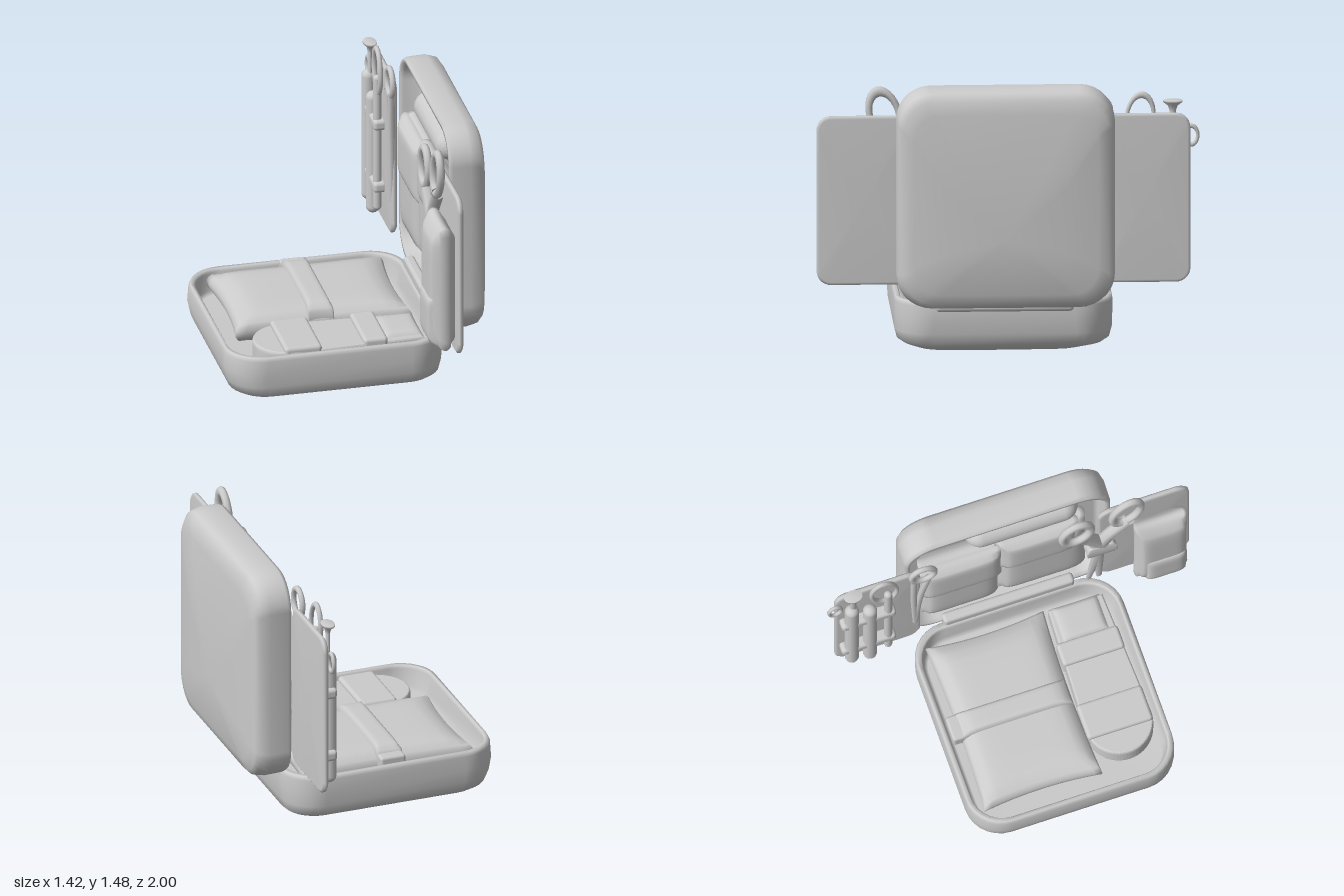
import * as THREE from 'three';
import { mergeVertices } from 'three/addons/utils/BufferGeometryUtils.js';
import { RoundedBoxGeometry } from 'three/addons/geometries/RoundedBoxGeometry.js';

const mat = new THREE.MeshStandardMaterial({ color: 0xcccccc, side: THREE.DoubleSide });

function add(parent, name, geo, x = 0, y = 0, z = 0) {
  const m = new THREE.Mesh(geo, mat);
  m.name = name;
  m.position.set(x, y, z);
  parent.add(m);
  return m;
}

// Loft of rounded rectangles; each section is [halfX, halfZ, cornerRadius, y, shiftX, shiftZ]
function loft(sections) {
  const n = 8, ring = 4 * n, pos = [], idx = [];
  for (const [hx, hz, r, y, sx = 0, sz = 0] of sections) {
    for (let q = 0; q < 4; q++) {
      for (let i = 0; i < n; i++) {
        const a = (q + i / (n - 1)) * Math.PI / 2;
        const cx = (q === 0 || q === 3 ? 1 : -1) * (hx - r), cz = (q < 2 ? 1 : -1) * (hz - r);
        pos.push(sx + cx + r * Math.cos(a), y, sz + cz + r * Math.sin(a));
      }
    }
  }
  for (let s = 0; s < sections.length - 1; s++) {
    for (let i = 0; i < ring; i++) {
      const a = s * ring + i, b = s * ring + (i + 1) % ring;
      idx.push(a, a + ring, b, b, a + ring, b + ring);
    }
  }
  const g = new THREE.BufferGeometry();
  g.setAttribute('position', new THREE.Float32BufferAttribute(pos, 3));
  g.setIndex(idx);
  const merged = mergeVertices(g);
  merged.computeVertexNormals();
  return merged;
}

// Soft cushion: a box thinned towards its seams, with sides drawn in between the corners
function pillow(w, h, d, pinch = 0.03, edge = 0.5) {
  let g = new THREE.BoxGeometry(w, h, d, 16, 6, 16);
  g.deleteAttribute('uv');
  g.deleteAttribute('normal');
  g = mergeVertices(g);
  const p = g.attributes.position;
  for (let i = 0; i < p.count; i++) {
    const u = p.getX(i) * 2 / w, t = p.getY(i) * 2 / h, v = p.getZ(i) * 2 / d;
    const full = Math.sqrt(Math.max(0, (1 - u ** 6) * (1 - v ** 6)));
    const shrink = 1 - 0.05 * t * t;
    p.setXYZ(i,
      u * w / 2 * shrink * (1 - pinch * (1 - v * v)),
      t * h / 2 * (edge + (1 - edge) * full),
      v * d / 2 * shrink * (1 - pinch * (1 - u * u)));
  }
  g.computeVertexNormals();
  return g;
}

// Cushion standing against the lid: thickness along x, height along y
function pouch(parent, name, height, thick, width, x, y, z, pinch = 0.02) {
  const m = add(parent, name, pillow(height, thick, width, pinch, 0.4), x, y, z);
  m.rotation.z = Math.PI / 2;
  return m;
}

// Oval loop lying in the yz plane
function loop(parent, name, ry, rz, tube, x, y, z, tilt = 0) {
  const m = add(parent, name, new THREE.TorusGeometry(1, tube / Math.sqrt(ry * rz), 8, 24), x, y, z);
  m.rotation.set(tilt, Math.PI / 2, 0);
  m.scale.set(rz, ry, Math.sqrt(ry * rz));
  return m;
}

function tube(parent, name, points, r) {
  const curve = new THREE.CatmullRomCurve3(points.map(p => new THREE.Vector3(...p)));
  return add(parent, name, new THREE.TubeGeometry(curve, 24, r, 8), 0, 0, 0);
}

export function createModel() {
  const model = new THREE.Group();
  model.name = 'openKitCase';

  // Tray with a sagging bottom
  add(model, 'tray', loft([
    [0, 0, 0, 0, 0.26, 0.08], [0.26, 0.24, 0.1, 0.015, 0.14, 0.08], [0.46, 0.44, 0.14, 0.042, 0.05, 0.02],
    [0.53, 0.52, 0.16, 0.065, 0.015], [0.56, 0.555, 0.18, 0.09, 0.01], [0.577, 0.568, 0.19, 0.14, 0.005],
    [0.588, 0.57, 0.2, 0.21], [0.586, 0.57, 0.2, 0.29, 0.004], [0.576, 0.562, 0.19, 0.312, 0.004],
    [0.556, 0.543, 0.18, 0.312], [0.547, 0.535, 0.17, 0.295], [0.54, 0.525, 0.16, 0.2],
    [0.52, 0.505, 0.14, 0.18], [0, 0, 0, 0.18],
  ]), -0.122, 0, 0.02);

  // Lid standing upright, hollow side towards -x
  const lid = add(model, 'lid', loft([
    [0, 0, 0, 0, -0.2], [0.28, 0.32, 0.1, 0.016, -0.1], [0.48, 0.48, 0.14, 0.035, -0.02],
    [0.54, 0.535, 0.16, 0.05, -0.01], [0.573, 0.56, 0.18, 0.075, -0.003], [0.585, 0.57, 0.18, 0.13],
    [0.583, 0.568, 0.18, 0.225], [0.573, 0.56, 0.17, 0.245], [0.555, 0.543, 0.16, 0.245],
    [0.547, 0.535, 0.15, 0.225], [0.54, 0.525, 0.15, 0.15], [0.52, 0.505, 0.13, 0.13], [0, 0, 0, 0.13],
  ]), 0.71, 0.895, 0.02);
  lid.rotation.z = Math.PI / 2;
  add(model, 'hinge', new RoundedBoxGeometry(0.06, 0.1, 0.72, 3, 0.02), 0.467, 0.315, 0.02);

  // Contents of the tray
  add(model, 'largePack', pillow(0.95, 0.17, 0.65, 0.05, 0.55), -0.11, 0.265, -0.145);
  add(model, 'packStrap', pillow(0.14, 0.17, 0.62, 0.01, 0.7), -0.12, 0.292, -0.15);
  add(model, 'strapClasp', new RoundedBoxGeometry(0.14, 0.08, 0.07, 2, 0.015), -0.12, 0.3, -0.47);
  const roll = new THREE.Shape();
  roll.moveTo(0.34, -0.14);
  roll.lineTo(0.34, 0.14);
  roll.lineTo(-0.35, 0.17);
  roll.absarc(-0.35, 0, 0.17, Math.PI / 2, Math.PI * 1.5, false);
  const rollGeo = new THREE.ExtrudeGeometry(roll,
    { depth: 0.08, bevelSize: 0.01, bevelThickness: 0.02, bevelSegments: 3, curveSegments: 16 });
  add(model, 'bandageRoll', rollGeo.rotateX(-Math.PI / 2), 0, 0.2, 0.35);
  for (const [x, w, d] of [[0.09, 0.13, 0.34], [-0.3, 0.2, 0.36]])
    add(model, 'rollStrap', new RoundedBoxGeometry(w, 0.13, d, 3, 0.02), x, 0.26, 0.345);
  add(model, 'sidePack', pillow(0.22, 0.12, 0.28, 0.02), 0.25, 0.26, 0.345);

  // Fold-out side panels
  for (const [z0, z1] of [[0.5, 1.0], [-0.95, -0.48]]) {
    const w = (z1 - z0) / 2;
    add(model, 'sidePanel', loft([
      [0, 0, 0, 0], [0.435, w - 0.015, 0.06, 0], [0.45, w, 0.075, 0.01],
      [0.45, w, 0.075, 0.024], [0.435, w - 0.015, 0.06, 0.034], [0, 0, 0, 0.034],
    ]), 0.444, 0.855, (z0 + z1) / 2).rotation.z = Math.PI / 2;
  }

  // Pouches inside the lid
  pouch(model, 'lidPouch', 0.66, 0.18, 0.44, 0.52, 0.81, -0.24);
  pouch(model, 'lidPouchFlap', 0.34, 0.13, 0.46, 0.485, 0.96, -0.24);
  pouch(model, 'lidPouch', 0.66, 0.18, 0.5, 0.52, 0.83, 0.21);
  pouch(model, 'lidPouchFlap', 0.32, 0.13, 0.44, 0.485, 1.02, 0.19);
  const gauze = add(model, 'gauzeRoll', new THREE.CapsuleGeometry(0.085, 0.45, 6, 20), 0.53, 1.32, 0.11);
  gauze.rotation.x = Math.PI / 2;

  // Bag on the +z side panel
  pouch(model, 'sideBag', 0.7, 0.15, 0.29, 0.354, 0.785, 0.82, 0.03);
  pouch(model, 'sideBagBulge', 0.3, 0.16, 0.25, 0.345, 0.6, 0.83, 0.02);

  // Scissors hanging between lid and side panel
  const scissors = new THREE.Group();
  scissors.name = 'scissors';
  model.add(scissors);
  loop(scissors, 'scissorHandle', 0.125, 0.075, 0.022, 0.385, 1.305, 0.645, 0.3);
  loop(scissors, 'scissorHandle', 0.11, 0.08, 0.022, 0.385, 1.22, 0.37, 0.2);
  tube(scissors, 'scissorArm', [[0.385, 1.2, 0.66], [0.39, 1.06, 0.55], [0.395, 0.96, 0.5]], 0.035);
  tube(scissors, 'scissorArm', [[0.385, 1.12, 0.41], [0.39, 1.04, 0.46], [0.395, 0.94, 0.52]], 0.035);
  for (const [top, tip] of [[0.49, 0.5], [0.53, 0.44]]) {
    const blade = add(scissors, 'scissorBlade', new THREE.CylinderGeometry(0.05, 0.015, 0.54, 12),
      0.405, 0.7, (top + tip) / 2);
    blade.scale.x = 0.45;
    blade.rotation.x = Math.atan2(top - tip, 0.54);
  }
  add(scissors, 'scissorHolder', pillow(0.06, 0.12, 0.17), 0.405, 0.85, 0.51);

  // Instruments on the -z side panel
  const tools = new THREE.Group();
  tools.name = 'instruments';
  model.add(tools);
  for (const [z, r, y0, y1] of [[-0.87, 0.038, 0.45, 1.2], [-0.77, 0.038, 0.42, 1.12], [-0.67, 0.022, 0.48, 1.26]])
    add(tools, 'instrument', new THREE.CapsuleGeometry(r, y1 - y0 - 2 * r, 5, 12), 0.38, (y0 + y1) / 2, z);
  for (const y of [0.62, 0.98])
    add(tools, 'holdingStrap', new RoundedBoxGeometry(0.07, 0.06, 0.3, 3, 0.02), 0.388, y, -0.78);
  const knob = [[0.018, 0], [0.016, 0.14], [0.025, 0.17], [0.052, 0.19], [0.05, 0.2], [0, 0.2]];
  const plunger = add(tools, 'plungerKnob',
    new THREE.LatheGeometry(knob.map(p => new THREE.Vector2(...p)), 16), 0.385, 1.165, -0.86);
  plunger.scale.x = 0.7;
  loop(tools, 'smallLoop', 0.05, 0.035, 0.011, 0.4, 1.18, -0.955);
  loop(tools, 'toolLoop', 0.12, 0.07, 0.014, 0.385, 1.275, -0.69, -0.1);

  // Forceps beside the lid
  loop(tools, 'forcepsLoop', 0.075, 0.065, 0.016, 0.4, 1.31, -0.47);
  for (const s of [-1, 1])
    tube(tools, 'forcepsArm', [[0.4, 1.25, -0.48 + s * 0.04], [0.41, 1.0, -0.5 + s * 0.02], [0.42, 0.6, -0.51]], 0.018);
  return model;
}
